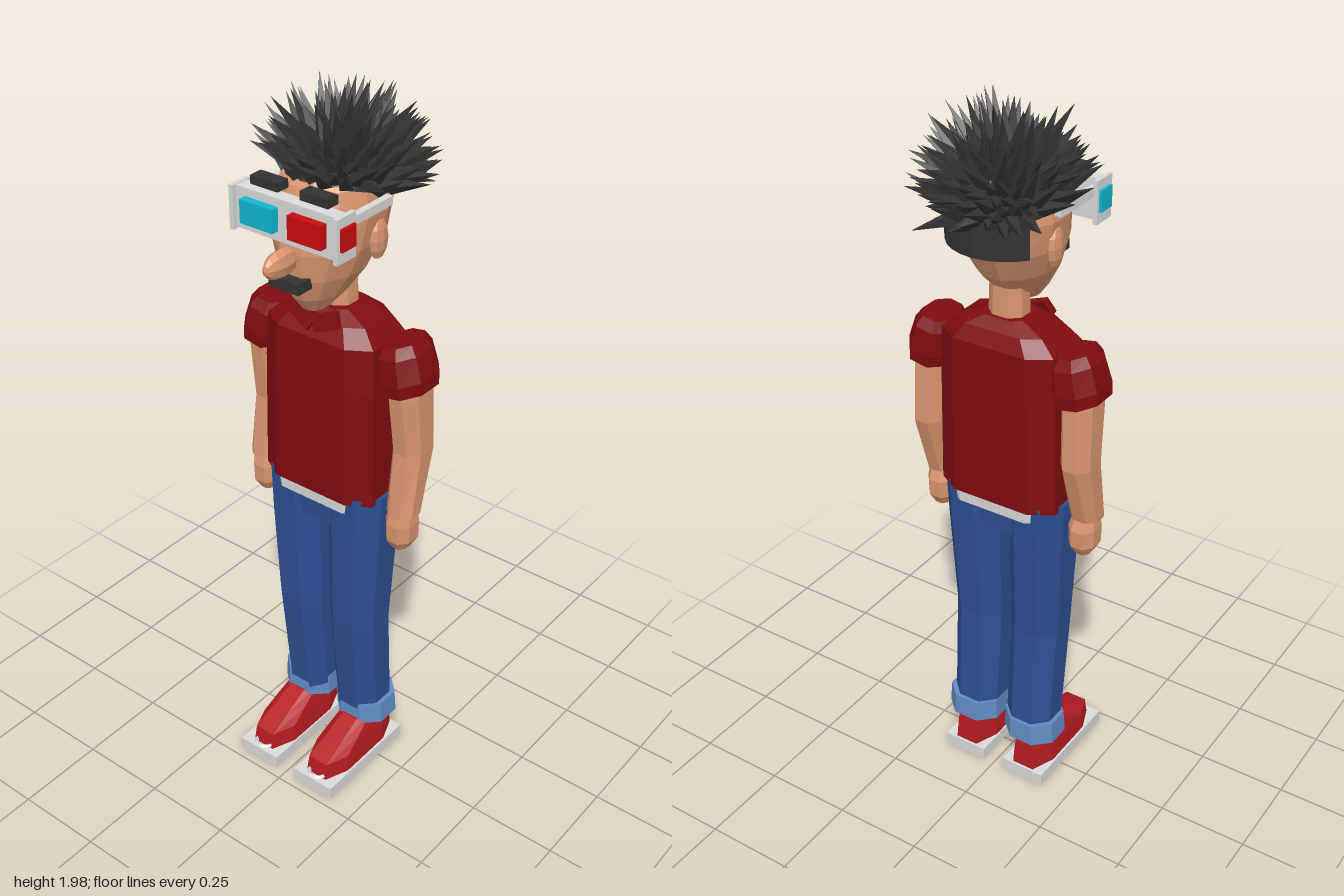
import * as THREE from 'three';
import { mergeGeometries } from 'three/addons/utils/BufferGeometryUtils.js';

const mat = (name, color) => {
  const m = new THREE.MeshStandardMaterial({ color });
  m.name = name;
  return m;
};

// Faceted normals
const flat = (g) => {
  const f = g.index ? g.toNonIndexed() : g;
  f.computeVertexNormals();
  return f;
};

// Unit rings: chamfered box (k = flat share of each side) or regular polygon
const octagon = (k) => [[1, k], [k, 1], [-k, 1], [-1, k], [-1, -k], [-k, -1], [k, -1], [1, -k]];
const polygon = (n) => Array.from({ length: n }, (_, i) => {
  const a = (i + 0.5) / n * Math.PI * 2;
  return [Math.cos(a) / Math.cos(Math.PI / n), Math.sin(a) / Math.cos(Math.PI / n)];
});

// Closed skin through sections [y, centreX, centreZ, radiusX, radiusZ], bottom to top
function loft(sections, ring = octagon(0.45)) {
  const n = ring.length, out = [];
  const pt = ([y, cx, cz, rx, rz], i) => [cx + rx * ring[i % n][0], y, cz + rz * ring[i % n][1]];
  const first = sections[0], last = sections[sections.length - 1];
  for (let i = 0; i < n; i++) {
    for (let s = 0; s < sections.length - 1; s++) {
      const a = pt(sections[s], i), b = pt(sections[s], i + 1);
      const c = pt(sections[s + 1], i), d = pt(sections[s + 1], i + 1);
      out.push(...a, ...c, ...b, ...b, ...c, ...d);
    }
    out.push(first[1], first[0], first[2], ...pt(first, i), ...pt(first, i + 1));
    out.push(last[1], last[0], last[2], ...pt(last, i + 1), ...pt(last, i));
  }
  const g = new THREE.BufferGeometry();
  g.setAttribute('position', new THREE.Float32BufferAttribute(out, 3));
  return g;
}

export function createModel() {
  const model = new THREE.Group();
  model.name = 'standingMan';
  const skin = mat('skin', 0xd9946f), shirt = mat('shirtRed', 0x7f0c0f);
  const shoe = mat('shoeRed', 0xb51c20), denim = mat('denim', 0x2c4f92);
  const cuff = mat('lightDenim', 0x628cc4), white = mat('white', 0xdadada);
  const black = mat('hairBlack', 0x333333), cyan = mat('cyanLens', 0x0fb8d0);
  const red = mat('redLens', 0xca0c0e);

  const add = (name, geo, material, pos = [0, 0, 0]) => {
    const m = new THREE.Mesh(flat(geo), material);
    m.name = name;
    m.position.set(...pos);
    model.add(m);
    return m;
  };
  const box = (name, size, pos, material) => add(name, new THREE.BoxGeometry(...size), material, pos);

  // Torso, hem and hips
  add('shirt', loft([
    [0.92, 0, -0.01, 0.175, 0.105], [1.25, 0, -0.012, 0.17, 0.105], [1.37, 0, -0.015, 0.165, 0.103],
    [1.41, 0, -0.02, 0.125, 0.08], [1.435, 0, -0.02, 0.06, 0.055],
  ], octagon(0.64)), shirt);
  add('undershirtHem', loft([[0.885, 0, -0.01, 0.15, 0.098], [0.93, 0, -0.01, 0.155, 0.1]], octagon(0.67)), white);
  add('hips', loft([[0.815, 0, -0.008, 0.1, 0.078], [0.9, 0, -0.008, 0.1, 0.084]], octagon(0.7)), denim);

  for (const s of [1, -1]) {
    const side = s > 0 ? 'left' : 'right';
    // Leg, cuff and shoe
    add(side + 'TrouserLeg', loft([
      [0.16, s * 0.088, -0.031, 0.07, 0.07], [0.5, s * 0.09, -0.003, 0.074, 0.077],
      [0.8, s * 0.098, -0.006, 0.082, 0.09], [0.935, s * 0.101, -0.008, 0.084, 0.093],
    ]), denim);
    add(side + 'TrouserCuff', loft([
      [0.135, s * 0.095, -0.034, 0.08, 0.076], [0.2, s * 0.093, -0.034, 0.077, 0.075],
    ]), cuff);
    add(side + 'Shoe', loft([
      [0.03, s * 0.098, 0.05, 0.061, 0.152], [0.085, s * 0.098, 0.047, 0.056, 0.146],
      [0.115, s * 0.098, 0.012, 0.05, 0.11], [0.147, s * 0.097, -0.024, 0.043, 0.07],
    ], octagon(0.55)), shoe);
    box(side + 'Sole', [0.132, 0.036, 0.33], [s * 0.099, 0.018, 0.056], white);
    const toe = add(side + 'ToeTrim', new THREE.TorusGeometry(0.026, 0.006, 4, 8, Math.PI), white, [s * 0.098, 0.045, 0.192]);
    toe.rotation.x = Math.PI / 2;

    // Arm, hand and sleeve
    add(side + 'Arm', loft([
      [0.9, s * 0.228, -0.003, 0.04, 0.04], [1.08, s * 0.226, -0.042, 0.043, 0.058],
      [1.25, s * 0.222, -0.03, 0.044, 0.066], [1.31, s * 0.215, -0.03, 0.044, 0.062],
    ]), skin);
    add(side + 'Hand', loft([
      [0.79, s * 0.224, -0.006, 0.02, 0.026], [0.82, s * 0.224, -0.006, 0.037, 0.044],
      [0.87, s * 0.224, -0.006, 0.038, 0.046], [0.91, s * 0.226, -0.002, 0.03, 0.034],
    ]), skin);
    const sleeve = add(side + 'Sleeve', loft([
      [-0.064, 0, 0, 0.06, 0.08], [-0.03, 0, 0, 0.065, 0.084], [0.035, 0, 0, 0.056, 0.076],
      [0.062, 0, 0, 0.042, 0.06],
    ]), shirt, [s * 0.21, 1.322, -0.028]);
    sleeve.rotation.z = s * 0.18;

    // Collar flap and ear
    const flap = box(side + 'CollarFlap', [0.07, 0.045, 0.02], [s * 0.034, 1.414, 0.066], shirt);
    flap.rotation.set(-0.35, 0, s * 0.42);
    add(side + 'Ear', new THREE.SphereGeometry(1, 8, 6).scale(0.018, 0.054, 0.032), skin, [s * 0.125, 1.632, -0.016]);

    // Glasses lenses, side panels and temples; eyebrow
    const lens = s > 0 ? red : cyan;
    box(side + 'FrontLens', [0.098, 0.06, 0.022], [s * 0.071, 1.705, 0.181], lens);
    box(side + 'SideLens', [0.009, 0.056, 0.05], [s * 0.163, 1.705, 0.148], lens);
    box(side + 'SidePanel', [0.012, 0.112, 0.068], [s * 0.154, 1.702, 0.149], white);
    box(side + 'Temple', [0.018, 0.022, 0.17], [s * 0.142, 1.728, 0.05], white);
    box(side + 'Eyebrow', [0.082, 0.022, 0.038], [s * 0.073, 1.774, 0.139], black);
  }
  box('glassesFrame', [0.312, 0.106, 0.037], [0, 1.703, 0.152], white);

  // Neck, head, nose and moustache
  add('neck', loft([[1.4, 0, -0.022, 0.05, 0.045], [1.54, 0, -0.022, 0.046, 0.04]]), skin);
  add('head', loft([
    [1.45, 0, 0.065, 0.03, 0.036], [1.49, 0, 0.045, 0.06, 0.085], [1.55, 0, 0.025, 0.095, 0.125],
    [1.62, 0, 0.008, 0.121, 0.148], [1.7, 0, -0.003, 0.134, 0.147], [1.77, 0, -0.01, 0.122, 0.128],
    [1.82, 0, -0.02, 0.085, 0.085],
  ], polygon(12)), skin);
  add('nose', new THREE.SphereGeometry(1, 8, 8).rotateX(Math.PI / 2).scale(0.024, 0.037, 0.059), skin, [0, 1.608, 0.19]);
  box('moustache', [0.09, 0.028, 0.05], [0, 1.548, 0.158], black);

  // Hair: tilted cap, nape patch and rows of spikes
  const hair = new THREE.Group();
  hair.name = 'hair';
  hair.position.set(0, 1.745, -0.035);
  model.add(hair);
  const radii = new THREE.Vector3(0.142, 0.125, 0.15), tilt = -0.3;
  const cap = new THREE.SphereGeometry(1, 16, 8, 0, Math.PI * 2, 0, Math.PI / 2).rotateX(tilt)
    .scale(radii.x, radii.y, radii.z);
  const nape = new THREE.CylinderGeometry(0.15, 0.148, 0.11, 8, 1, false, Math.PI - 0.95, 1.9).translate(0, -0.055, 0);

  let seed = 7;
  const rand = () => (seed = (seed * 16807) % 2147483647) / 2147483647;
  const up = new THREE.Vector3(0, 1, 0), parts = [cap, nape], count = 190;
  for (let i = 0; i < count; i++) {
    const h = 1 - i / count * 0.95, r = Math.sqrt(1 - h * h), a = i * 2.39996;
    const dir = new THREE.Vector3(Math.cos(a) * r, h, Math.sin(a) * r).applyAxisAngle(new THREE.Vector3(1, 0, 0), tilt);
    const base = dir.clone().multiply(radii).multiplyScalar(0.93);
    const axis = dir.clone().addScaledVector(up, 0.3)
      .add(new THREE.Vector3(rand() - 0.5, rand() - 0.5, rand() - 0.5).multiplyScalar(0.55)).normalize();
    const length = (0.07 + 0.07 * rand()) * (dir.z > 0.5 ? 0.7 : 1);
    const spike = new THREE.ConeGeometry(0.023, length, 4).translate(0, length / 2, 0);
    spike.applyQuaternion(new THREE.Quaternion().setFromUnitVectors(up, axis));
    parts.push(spike.translate(base.x, base.y, base.z));
  }
  const spikes = new THREE.Mesh(flat(mergeGeometries(parts)), black);
  spikes.name = 'spikyHair';
  hair.add(spikes);

  return model;
}
